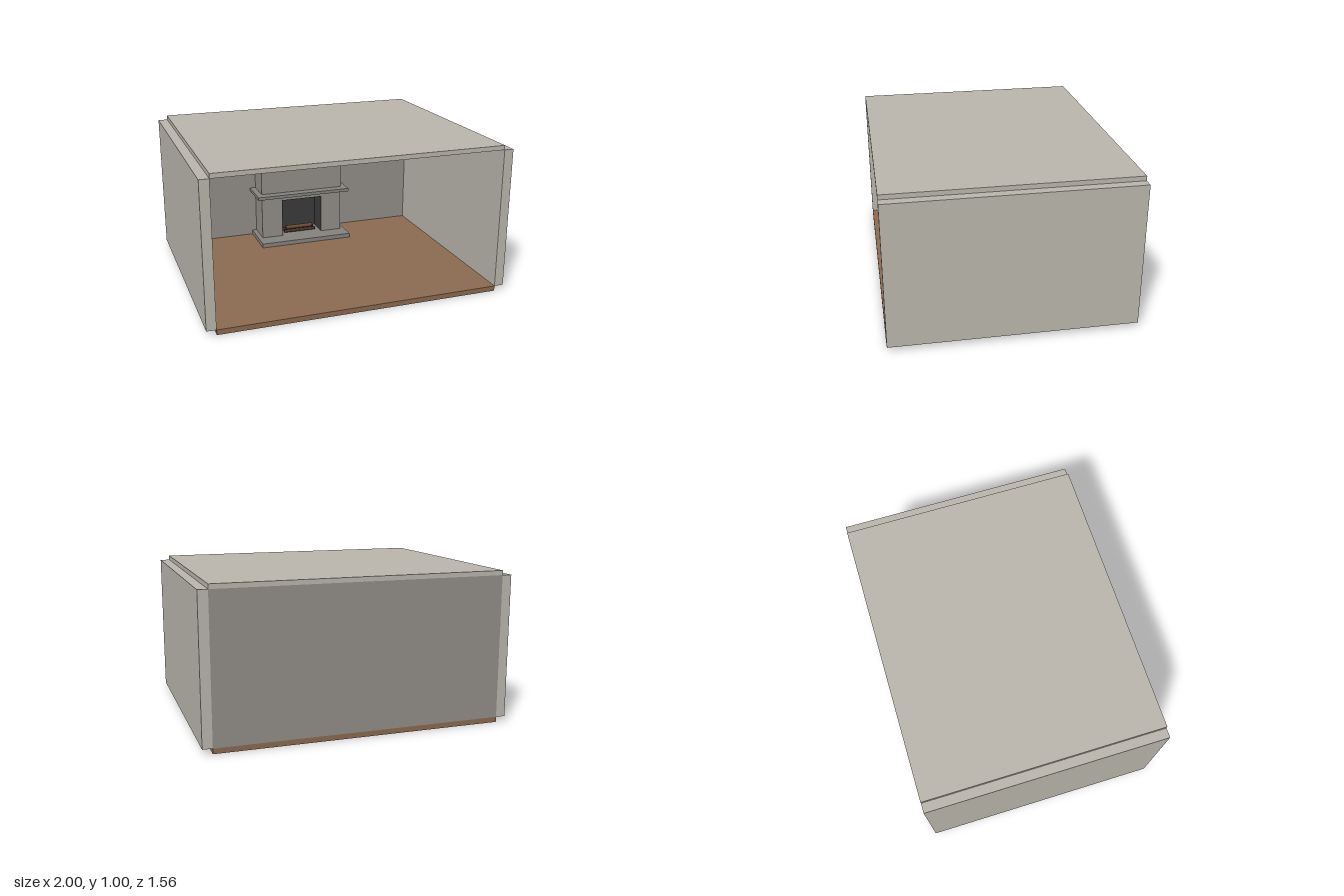
import * as THREE from 'three';

const mat = (color) => new THREE.MeshStandardMaterial({ color });

export function createModel() {
  const room = new THREE.Group();
  room.name = 'roomWithFireplace';
  const plaster = mat(0xbab6ad), wallPaint = mat(0x928d87), wood = mat(0x8b6a50);
  const stone = mat(0x85837d), soot = mat(0x3a3a3a), bark = mat(0x6a4a35), darkBark = mat(0x4a3426);
  const wax = mat(0xe8e2d4);

  const add = (parent, name, geometry, material) => {
    const mesh = new THREE.Mesh(geometry, material);
    mesh.name = name;
    parent.add(mesh);
    return mesh;
  };
  // Box given by its minimum and maximum on each axis
  const box = (parent, name, material, [x0, x1], [y0, y1], [z0, z1]) => {
    const mesh = add(parent, name, new THREE.BoxGeometry(x1 - x0, y1 - y0, z1 - z0), material);
    mesh.position.set((x0 + x1) / 2, (y0 + y1) / 2, (z0 + z1) / 2);
    return mesh;
  };

  // Shell: floor, ceiling, side walls and back wall, open at the front
  const inX = 0.9375, depth = [-0.78, 0.78], wallY = [0.034, 0.97], backZ = -0.686;
  box(room, 'floor', wood, [-inX, inX], [0, 0.034], depth);
  box(room, 'ceiling', plaster, [-inX, inX], [0.97, 1], depth);
  box(room, 'leftWall', plaster, [inX, 1], wallY, depth);
  box(room, 'rightWall', plaster, [-1, -inX], wallY, depth);
  box(room, 'backWall', wallPaint, [-inX, inX], wallY, [-0.78, backZ]);

  const fireplace = new THREE.Group();
  fireplace.name = 'fireplace';
  room.add(fireplace);

  // Chimney breast with the fire opening cut through its lower edge
  const w = 0.3125, o = 0.157, top = 0.35, frontZ = -0.496;
  const outline = new THREE.Shape([
    [-w, 0.034], [-o, 0.034], [-o, top], [o, top], [o, 0.034], [w, 0.034], [w, 0.97], [-w, 0.97],
  ].map(([x, y]) => new THREE.Vector2(x, y)));
  const breast = new THREE.ExtrudeGeometry(outline, { depth: frontZ - backZ, bevelEnabled: false });
  add(fireplace, 'chimneyBreast', breast, wallPaint).position.z = backZ;

  // Sooty lining of the firebox
  const lining = [backZ, frontZ - 0.002];
  box(fireplace, 'fireboxBack', soot, [-o, o], [0.065, top], [backZ, -0.655]);
  box(fireplace, 'fireboxTop', soot, [-o, o], [top - 0.004, top], lining);
  for (const s of [-1, 1]) {
    const xs = [s * o, s * (o - 0.003)].sort((a, b) => a - b);
    box(fireplace, 'fireboxSide', soot, xs, [0.065, top], lining);
  }

  // Hearth slab and mantel shelf
  box(fireplace, 'hearth', stone, [-0.345, 0.345], [0.034, 0.065], [backZ, -0.373]);
  box(fireplace, 'mantelShelf', stone, [-0.355, 0.355], [0.388, 0.411], [backZ, -0.43]);

  // Stacked logs lying across the firebox
  const log = (x, y, z, length, radius, material) => {
    const mesh = add(fireplace, 'log', new THREE.CylinderGeometry(radius, radius, length, 10), material);
    mesh.rotation.z = Math.PI / 2;
    mesh.position.set(x, y, z);
  };
  log(-0.003, 0.077, -0.55, 0.25, 0.012, darkBark);
  log(-0.003, 0.077, -0.6, 0.25, 0.012, darkBark);
  log(-0.002, 0.097, -0.575, 0.21, 0.015, bark);

  // Candle on the mantel
  add(fireplace, 'candle', new THREE.CylinderGeometry(0.006, 0.006, 0.05, 12), wax)
    .position.set(0.213, 0.436, -0.51);

  return room;
}
